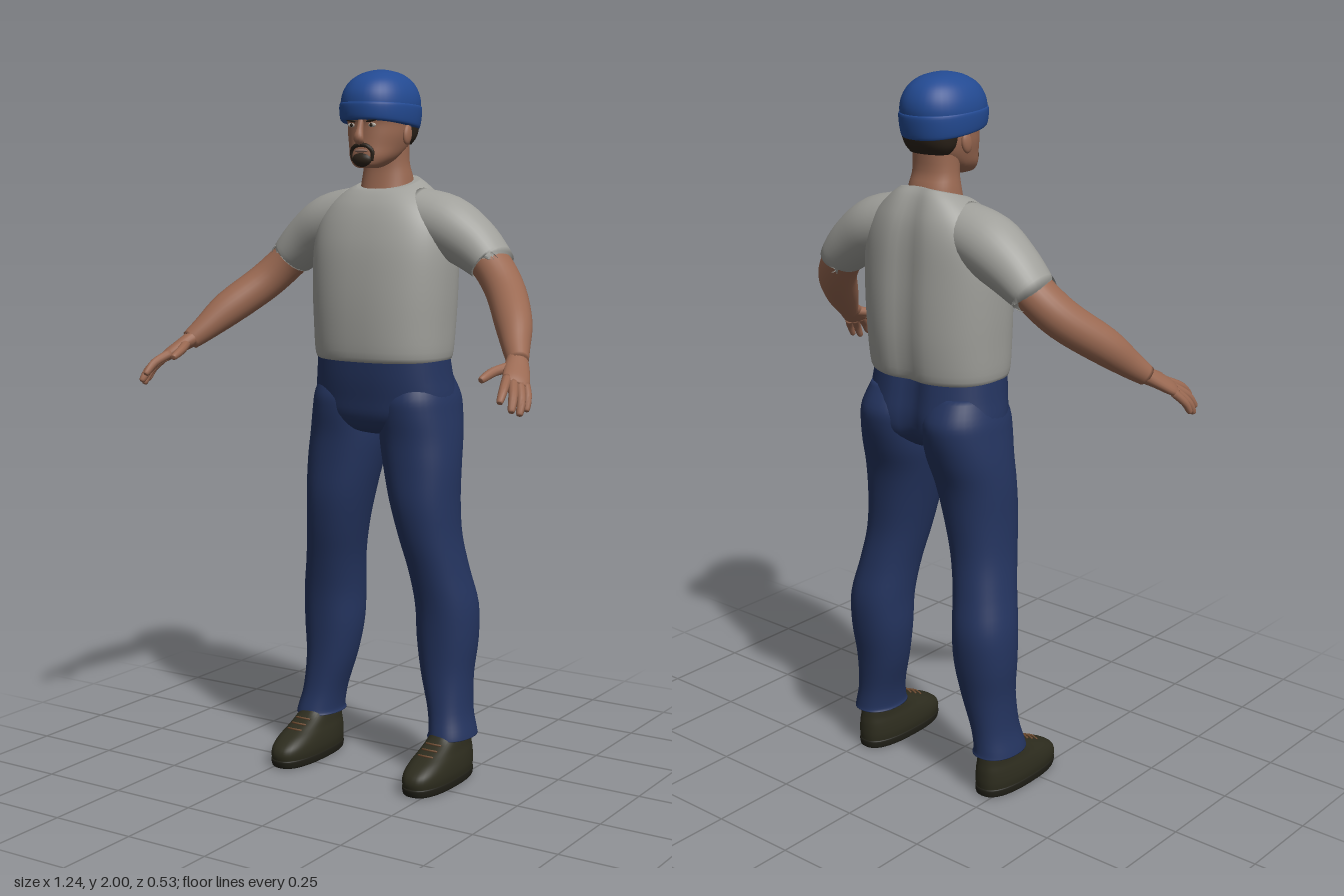
import * as THREE from 'three';

const mat = (name, color) => Object.assign(new THREE.MeshStandardMaterial({ color }), { name });

// Catmull-Rom smoothing of every column in a table of sections
function smooth(rows, n) {
  const out = [];
  const at = i => rows[Math.max(0, Math.min(rows.length - 1, i))];
  for (let i = 0; i < rows.length - 1; i++) {
    for (let k = 0; k < n; k++) {
      const t = k / n;
      out.push(rows[i].map((b, j) => {
        const a = at(i - 1)[j], c = at(i + 1)[j], d = at(i + 2)[j];
        return b + 0.5 * t * (c - a + t * (2 * a - 5 * b + 4 * c - d + t * (3 * (b - c) + d - a)));
      }));
    }
  }
  out.push(rows[rows.length - 1]);
  return out;
}

// Closed surface through a list of rings, with end caps
function skinRings(rings) {
  const m = rings[0].length, pos = [], idx = [];
  rings.forEach(r => r.forEach(p => pos.push(p.x, p.y, p.z)));
  for (let i = 0; i < rings.length - 1; i++) {
    for (let j = 0; j < m; j++) {
      const a = i * m + j, b = i * m + (j + 1) % m;
      idx.push(a, a + m, b, b, a + m, b + m);
    }
  }
  [0, rings.length - 1].forEach((i, end) => {
    const c = new THREE.Vector3(), k = pos.length / 3;
    rings[i].forEach(p => c.addScaledVector(p, 1 / m));
    pos.push(c.x, c.y, c.z);
    for (let j = 0; j < m; j++) {
      const a = i * m + j, b = i * m + (j + 1) % m;
      if (end) idx.push(a, k, b); else idx.push(a, b, k);
    }
  });
  const g = new THREE.BufferGeometry();
  g.setAttribute('position', new THREE.Float32BufferAttribute(pos, 3));
  g.setIndex(idx);
  g.computeVertexNormals();
  return g;
}

// Upright body of rows [y, centreX, halfX, frontZ, backZ, tilt], bottom to top
function loft(rows, { power = 2.2, seg = 40, groove = 0 } = {}) {
  const f = v => Math.sign(v) * Math.abs(v) ** (2 / power);
  return skinRings(smooth(rows, 4).map(([y, cx, hx, zf, zb, tilt]) =>
    Array.from({ length: seg }, (_, j) => {
      const a = j / seg * Math.PI * 2, c = f(Math.cos(a)), s = f(Math.sin(a));
      const x = hx * c;
      const dip = s < 0 ? groove * Math.exp(-((x / 0.04) ** 2)) : 0;
      return new THREE.Vector3(cx + x, y + tilt * s, (zf + zb) / 2 + (zf - zb) / 2 * s + dip);
    })));
}

// Limb through points [x, y, z, radius along ref, other radius]
function limb(points, ref, seg = 20) {
  const rows = smooth(points, 4), P = rows.map(r => new THREE.Vector3(r[0], r[1], r[2]));
  return skinRings(rows.map((r, i) => {
    const T = P[Math.min(i + 1, P.length - 1)].clone().sub(P[Math.max(i - 1, 0)]).normalize();
    const S = ref.clone().addScaledVector(T, -ref.dot(T)).normalize();
    const B = S.clone().cross(T);
    return Array.from({ length: seg }, (_, j) => {
      const a = j / seg * Math.PI * 2;
      return P[i].clone().addScaledVector(S, r[3] * Math.cos(a)).addScaledVector(B, r[4] * Math.sin(a));
    });
  }));
}

export function createModel() {
  const root = new THREE.Group();
  const skin = mat('skin', 0x9a6952), hair = mat('hair', 0x2b2219), cap = mat('capBlue', 0x234a92);
  const shirt = mat('shirtGrey', 0xa0a09b), denim = mat('trouserBlue', 0x24345f);
  const leather = mat('shoeLeather', 0x2d2c1e), sole = mat('shoeSole', 0x201f17);
  const lace = mat('lace', 0x6b4a30), white = mat('eyeWhite', 0xb9b2a8), lip = mat('lip', 0x85665a);
  const Z = new THREE.Vector3(0, 0, 1), Y = new THREE.Vector3(0, 1, 0);
  const add = (name, geo, m) => {
    const mesh = new THREE.Mesh(geo, m);
    mesh.name = name;
    root.add(mesh);
    return mesh;
  };
  const ball = (name, m, p, s) => {
    const mesh = add(name, new THREE.SphereGeometry(1, 20, 14), m);
    mesh.position.set(...p);
    mesh.scale.set(...s);
    return mesh;
  };

  // Shirt body
  add('shirt', loft([
    [1.195, 0, 0.185, 0.025, -0.235, 0], [1.21, 0, 0.2, 0.042, -0.252, 0], [1.3, 0, 0.207, 0.046, -0.262, 0],
    [1.4, 0, 0.213, 0.042, -0.262, 0], [1.5, 0, 0.215, 0.03, -0.256, 0], [1.57, 0, 0.205, 0.012, -0.25, 0],
    [1.62, 0, 0.178, -0.008, -0.242, 0], [1.655, 0, 0.145, -0.028, -0.23, -0.004],
    [1.68, 0, 0.112, -0.044, -0.215, -0.012], [1.692, 0, 0.088, -0.052, -0.2, -0.02],
  ], { power: 2.4, seg: 64, groove: 0.014 }), shirt);

  // Trouser seat
  add('trouserSeat', loft([
    [0.985, 0, 0.05, -0.06, -0.17, 0], [1.0, 0, 0.13, -0.015, -0.21, 0], [1.04, 0, 0.205, 0.01, -0.245, 0],
    [1.09, 0, 0.212, 0.018, -0.253, 0], [1.15, 0, 0.203, 0.026, -0.245, 0], [1.215, 0, 0.195, 0.03, -0.235, 0],
  ], { power: 2.4, seg: 56, groove: 0.025 }), denim);

  // Neck and head
  add('neck', loft([
    [1.62, 0, 0.085, -0.045, -0.195, 0], [1.7, 0, 0.074, -0.062, -0.185, 0],
    [1.75, 0, 0.066, -0.066, -0.17, 0], [1.83, 0, 0.066, -0.055, -0.175, 0],
  ]), skin);
  add('head', loft([
    [1.73, 0, 0.022, 0.002, -0.05, 0], [1.738, 0, 0.042, 0.014, -0.075, 0], [1.76, 0, 0.061, 0.018, -0.12, 0],
    [1.79, 0, 0.072, 0.016, -0.168, 0], [1.82, 0, 0.079, 0.015, -0.185, 0], [1.85, 0, 0.081, 0.016, -0.195, 0],
    [1.88, 0, 0.083, 0.022, -0.195, 0], [1.93, 0, 0.075, 0.01, -0.18, 0],
  ], { power: 2.35 }), skin);
  add('backHair', loft([
    [1.795, 0, 0.062, -0.1, -0.176, 0], [1.815, 0, 0.076, -0.09, -0.19, 0],
    [1.84, 0, 0.082, -0.085, -0.198, 0], [1.88, 0, 0.086, -0.08, -0.2, 0],
  ]), hair);

  // Face
  add('nose', limb([[0, 1.868, 0.012, 0.008, 0.008], [0, 1.835, 0.021, 0.01, 0.011],
    [0, 1.812, 0.028, 0.015, 0.012], [0, 1.8, 0.02, 0.012, 0.008]], new THREE.Vector3(1, 0, 0)), skin);
  ball('goatee', hair, [0, 1.754, 0.006], [0.032, 0.021, 0.02]);
  ball('mouth', lip, [0, 1.777, 0.014], [0.021, 0.005, 0.008]);
  for (const s of [1, -1]) {
    add('moustache', limb([[0, 1.794, 0.017, 0.006, 0.006], [s * 0.02, 1.79, 0.014, 0.007, 0.006],
      [s * 0.033, 1.775, 0.01, 0.005, 0.006], [s * 0.03, 1.75, 0.008, 0.004, 0.005]], Z, 12), hair);
    ball('eyeWhite', white, [s * 0.033, 1.847, 0.011], [0.013, 0.006, 0.004]);
    ball('iris', hair, [s * 0.032, 1.847, 0.014], [0.005, 0.005, 0.003]);
    ball('eyebrow', hair, [s * 0.035, 1.86, 0.014], [0.021, 0.004, 0.005]).rotation.z = s * 0.2;
    ball('ear', skin, [s * 0.083, 1.822, -0.092], [0.01, 0.028, 0.018]).rotation.x = -0.2;
  }

  // Knitted cap with a folded edge
  add('cap', loft([
    [1.88, 0, 0.1, 0.036, -0.208, 0], [1.91, 0, 0.101, 0.038, -0.212, 0], [1.94, 0, 0.094, 0.031, -0.206, 0],
    [1.968, 0, 0.077, 0.01, -0.188, 0], [1.988, 0, 0.05, -0.025, -0.158, 0], [1.997, 0, 0.024, -0.06, -0.12, 0],
    [2, 0, 0.004, -0.085, -0.095, 0],
  ]), cap);
  add('capFold', loft([
    [1.848, 0, 0.092, 0.028, -0.198, 0.014], [1.851, 0, 0.1, 0.037, -0.206, 0.014],
    [1.875, 0, 0.104, 0.041, -0.212, 0.01], [1.9, 0, 0.104, 0.041, -0.214, 0.006], [1.905, 0, 0.098, 0.034, -0.206, 0.006],
  ]), cap);

  for (const s of [1, -1]) {
    const side = pts => pts.map(([x, ...rest]) => [s * x, ...rest]);

    // Sleeve and arm
    add('sleeve', limb(side([
      [0.09, 1.6, -0.125, 0.085, 0.08], [0.19, 1.572, -0.13, 0.09, 0.086], [0.27, 1.525, -0.132, 0.08, 0.076],
      [0.326, 1.48, -0.13, 0.072, 0.062], [0.332, 1.474, -0.129, 0.066, 0.057],
    ]), Z, 32), shirt);
    add('arm', limb(side([
      [0.27, 1.525, -0.13, 0.06, 0.056], [0.335, 1.468, -0.124, 0.06, 0.054], [0.4, 1.4, -0.085, 0.056, 0.054],
      [0.47, 1.325, 0, 0.049, 0.051], [0.51, 1.27, 0.06, 0.037, 0.038], [0.537, 1.235, 0.1, 0.027, 0.029],
    ]), Z, 28), skin);

    // Hand with four fingers and a thumb
    add('palm', limb(side([
      [0.53, 1.243, 0.09, 0.028, 0.025], [0.548, 1.222, 0.125, 0.034, 0.02],
      [0.566, 1.198, 0.163, 0.037, 0.017], [0.575, 1.186, 0.182, 0.031, 0.011],
    ]), new THREE.Vector3(s * 0.8, -0.3, -0.6)), skin);
    const fingers = [
      [[0.549, 1.203, 0.18], [0.565, 1.18, 0.228], [0.571, 1.152, 0.258]],
      [[0.565, 1.193, 0.178], [0.588, 1.163, 0.22], [0.597, 1.13, 0.245]],
      [[0.58, 1.186, 0.17], [0.602, 1.152, 0.202], [0.608, 1.12, 0.222]],
      [[0.59, 1.184, 0.155], [0.608, 1.157, 0.178], [0.614, 1.128, 0.196]],
      [[0.535, 1.228, 0.12], [0.508, 1.216, 0.175], [0.499, 1.2, 0.222]],
    ];
    fingers.forEach(([a, b, c], i) => {
      const r = [0.012, 0.0125, 0.012, 0.0105, 0.013][i];
      const tip = c.map((v, k) => v + (c[k] - b[k]) * 0.12);
      add(i === 4 ? 'thumb' : 'finger', limb(side([
        [...a, r * 1.1, r * 1.1], [...b, r, r], [...c, r * 0.75, r * 0.75], [...tip, r * 0.25, r * 0.25],
      ]), Y, 10), skin);
    });

    // Trouser leg: height, outer x, inner x, front z, back z
    const leg = [
      [0.125, 0.291, 0.161, -0.032, -0.204], [0.14, 0.288, 0.165, -0.036, -0.201], [0.2, 0.275, 0.155, -0.05, -0.2],
      [0.3, 0.272, 0.125, -0.058, -0.212], [0.4, 0.281, 0.107, -0.057, -0.228], [0.5, 0.279, 0.103, -0.05, -0.233],
      [0.6, 0.259, 0.092, -0.032, -0.214], [0.7, 0.243, 0.07, -0.01, -0.2], [0.8, 0.238, 0.045, 0.004, -0.203],
      [0.9, 0.237, 0.02, 0.003, -0.215], [0.98, 0.231, 0.004, 0.003, -0.24], [1.05, 0.221, 0.004, 0.01, -0.258],
      [1.1, 0.212, 0.008, 0.008, -0.258], [1.16, 0.19, 0.03, -0.02, -0.225],
    ];
    add('trouserLeg', loft(leg.map(([y, o, i, zf, zb]) => [y, s * (o + i) / 2, (o - i) / 2, zf, zb, 0])), denim);

    // Shoe, sole and laces
    const shoe = rows => loft(rows.map(([y, hx, zf, zb]) => [y, s * 0.224, hx, zf, zb, 0]), { power: 2.5 });
    add('sole', shoe([[0, 0.054, 0.1, -0.188], [0.004, 0.06, 0.109, -0.194], [0.022, 0.062, 0.114, -0.196],
      [0.026, 0.058, 0.108, -0.19]]), sole);
    add('shoe', shoe([[0.02, 0.059, 0.11, -0.193], [0.04, 0.062, 0.113, -0.195], [0.06, 0.061, 0.104, -0.195],
      [0.08, 0.057, 0.075, -0.194], [0.1, 0.051, 0.03, -0.191], [0.125, 0.047, -0.022, -0.188],
      [0.15, 0.043, -0.045, -0.185]]), leather);
    for (let i = 0; i < 3; i++) {
      const y = 0.098 + i * 0.011, z = 0.03 - i * 0.022;
      add('lace', limb([[s * 0.224 - 0.024, y, z - 0.002, 0.003, 0.003], [s * 0.224, y + 0.002, z + 0.004, 0.003, 0.003],
        [s * 0.224 + 0.024, y, z - 0.002, 0.003, 0.003]], Y, 8), lace);
    }
  }
  return root;
}
